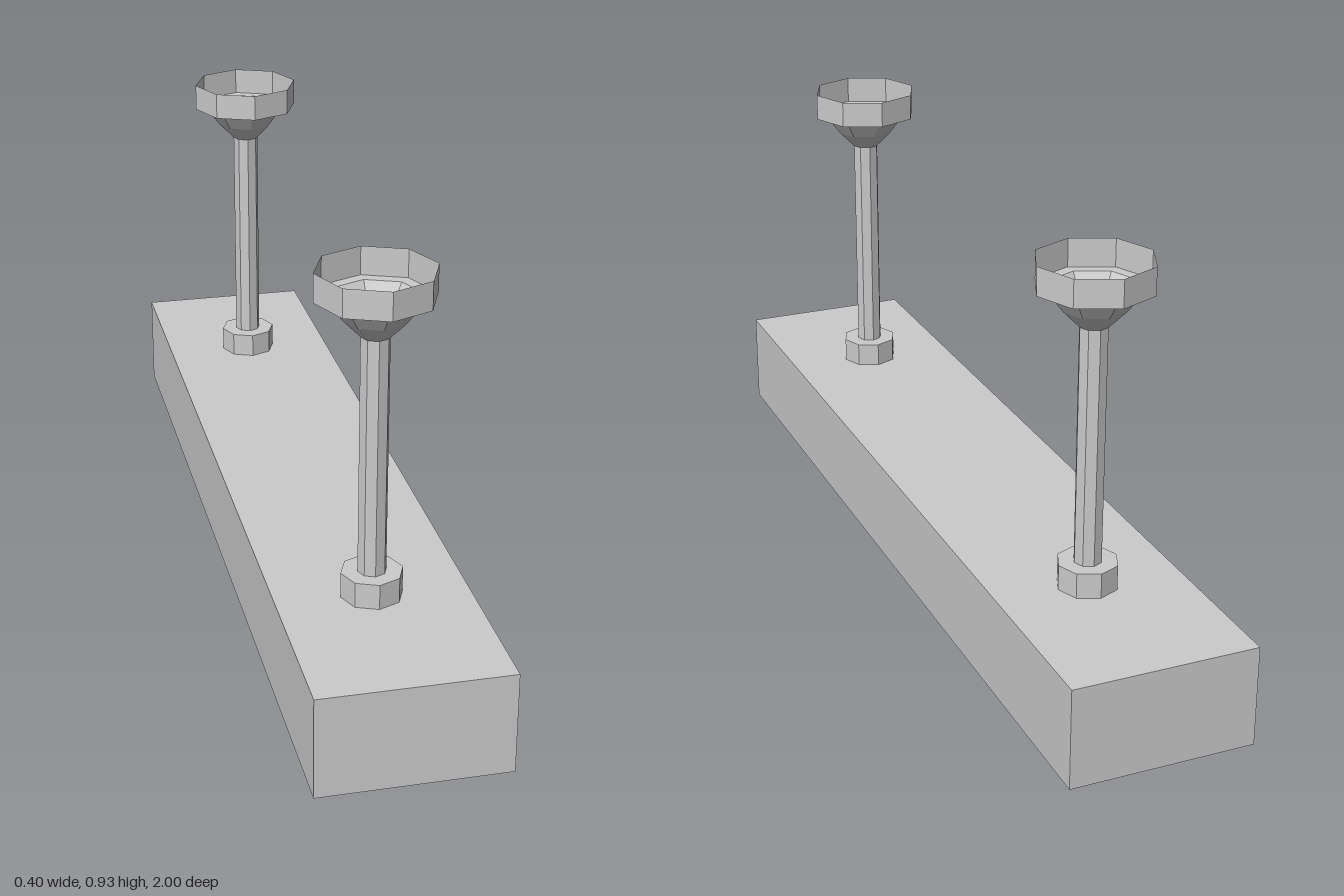
import * as THREE from 'three';

const material = new THREE.MeshStandardMaterial({ color: 0xcccccc, flatShading: true });
const thinMaterial = new THREE.MeshStandardMaterial({ color: 0xcccccc, flatShading: true, side: THREE.DoubleSide });

function addMesh(parent, name, geometry, x, y, z, mat = material) {
  const mesh = new THREE.Mesh(geometry, mat);
  mesh.name = name;
  mesh.position.set(x, y, z);
  parent.add(mesh);
  return mesh;
}

// Skin a run of rectangular rings, each [halfWidth, halfLength, y]
function rectangleLoft(rings) {
  const corners = [[1, 1], [1, -1], [-1, -1], [-1, 1]];
  const point = ([w, l, y], i) => [corners[i % 4][0] * w, y, corners[i % 4][1] * l];
  const positions = [];
  for (let r = 0; r < rings.length - 1; r++) {
    for (let i = 0; i < 4; i++) {
      const a = point(rings[r], i), b = point(rings[r], i + 1);
      const c = point(rings[r + 1], i), d = point(rings[r + 1], i + 1);
      if (rings[r + 1][0] > 0) positions.push(...c, ...d, ...b);
      if (rings[r][0] > 0) positions.push(...a, ...c, ...b);
    }
  }
  const geometry = new THREE.BufferGeometry();
  geometry.setAttribute('position', new THREE.Float32BufferAttribute(positions, 3));
  geometry.computeVertexNormals();
  return geometry;
}

export function createModel() {
  const model = new THREE.Group();
  model.name = 'hangingLamp';

  // Housing, hollow from below
  addMesh(model, 'housing', rectangleLoft([
    [0, 0, 0.22], [0.2, 1, 0.22], [0.2, 1, 0],
    [0.16, 0.955, 0], [0.16, 0.955, 0.17], [0, 0, 0.17],
  ]), 0, 0, 0);

  // Pair of light tubes running the length of the housing
  for (const side of [1, -1]) {
    const tube = addMesh(model, side > 0 ? 'leftLightTube' : 'rightLightTube',
      new THREE.CylinderGeometry(0.031, 0.031, 1.91, 8), side * 0.08, 0.06, 0);
    tube.rotation.x = Math.PI / 2;
  }

  // Hangers: collar, post and open ceiling cup
  const cupProfile = [[0.03, 0.787], [0.066, 0.824], [0.097, 0.865], [0.123, 0.865], [0.123, 0.925]]
    .map(([r, y]) => new THREE.Vector2(r, y));
  for (const end of [1, -1]) {
    const hanger = new THREE.Group();
    hanger.name = end > 0 ? 'frontHanger' : 'backHanger';
    hanger.position.z = end * 0.648;
    addMesh(hanger, 'collar', new THREE.CylinderGeometry(0.065, 0.065, 0.055, 8), 0, 0.2475, 0);
    addMesh(hanger, 'post', new THREE.CylinderGeometry(0.03, 0.03, 0.515, 8), 0, 0.5305, 0);
    addMesh(hanger, 'ceilingCup', new THREE.LatheGeometry(cupProfile, 8), 0, 0, 0, thinMaterial);
    model.add(hanger);
  }
  return model;
}
